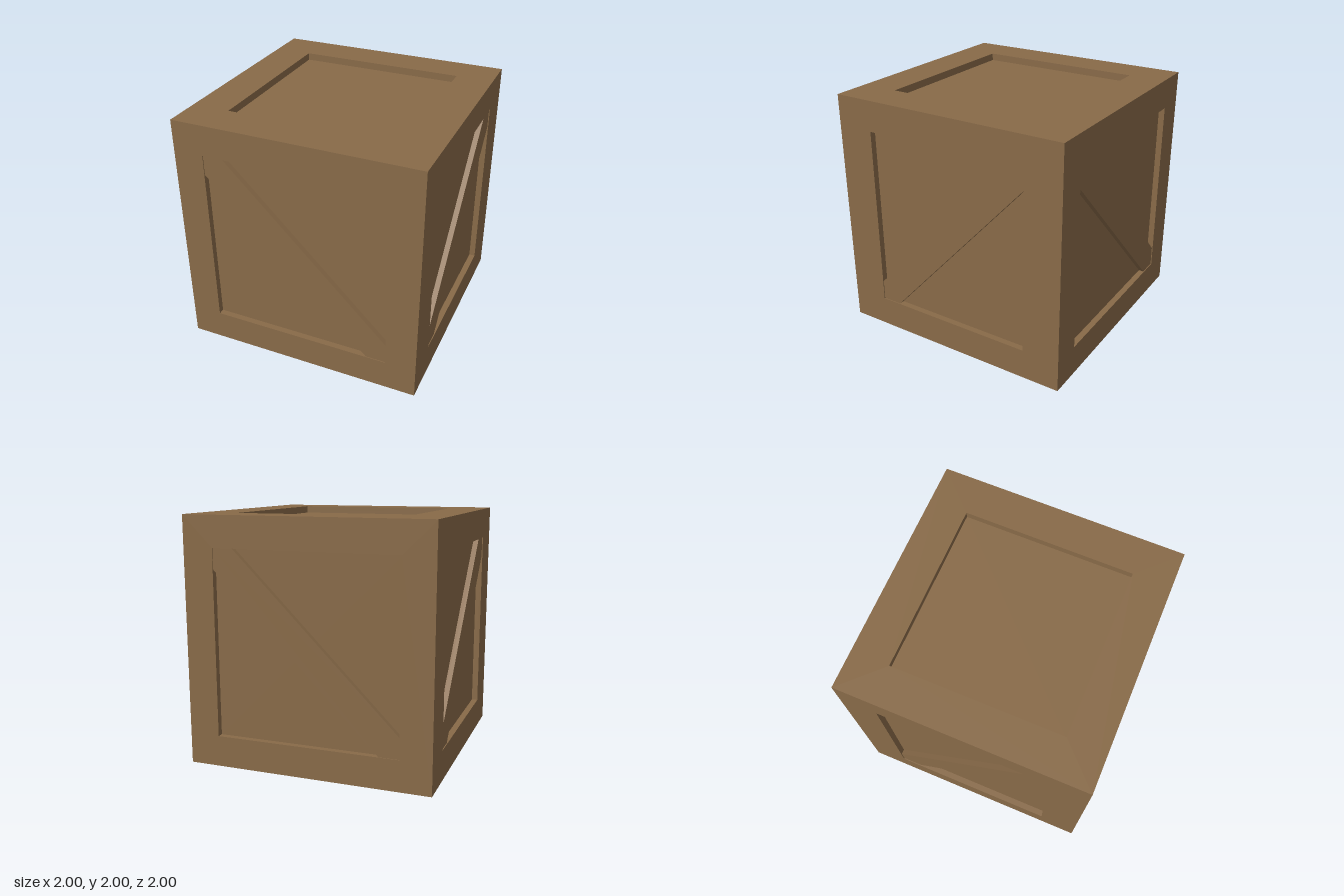
import * as THREE from 'three';

const wood = new THREE.MeshStandardMaterial({ color: 0x886a48 });
wood.name = 'wood';

function part(name, geometry, x = 0, y = 0, z = 0) {
  const mesh = new THREE.Mesh(geometry, wood);
  mesh.name = name;
  mesh.position.set(x, y, z);
  return mesh;
}

function polygon(points) {
  return new THREE.Shape(points.map(([x, y]) => new THREE.Vector2(x, y)));
}

// One side of the crate, facing +z: flat frame, recess w by h (half sizes) of depth d
function crateSide(name, w, h, d) {
  const side = new THREE.Group();
  side.name = name;
  const frame = polygon([[-1, -1], [1, -1], [1, 1], [-1, 1]]);
  frame.holes.push(polygon([[-w, -h], [-w, h], [w, h], [w, -h]]));
  side.add(part('frame', new THREE.ShapeGeometry(frame), 0, 0, 1));
  side.add(part('panel', new THREE.PlaneGeometry(2 * w, 2 * h), 0, 0, 1 - d));
  // inner edges of the frame
  for (const s of [-1, 1]) {
    const upright = new THREE.PlaneGeometry(d, 2 * h).rotateY(-s * Math.PI / 2);
    const rail = new THREE.PlaneGeometry(2 * w, d).rotateX(s * Math.PI / 2);
    side.add(part('frameEdge', upright, s * w, 0, 1 - d / 2));
    side.add(part('frameEdge', rail, 0, s * h, 1 - d / 2));
  }
  return side;
}

// Diagonal board across a recess, ends cut to fit its corners; lean 1 falls to the right
function brace(w, h, d, lean) {
  const cut = 0.165;
  const shape = polygon([
    [-w, h], [-w, h - cut], [w - cut, -h], [w, -h], [w, -h + cut], [-w + cut, h],
  ].map(([x, y]) => [x * lean, y]));
  const geometry = new THREE.ExtrudeGeometry(shape, { depth: d - 0.007, bevelEnabled: false });
  return part('brace', geometry, 0, 0, 1 - d);
}

export function createModel() {
  const crate = new THREE.Group();
  crate.name = 'crate';

  // four walls, opposite ones alike
  ['front', 'left', 'back', 'right'].forEach((name, i) => {
    const w = i % 2 ? 0.69 : 0.75;
    const wall = crateSide(name + 'Wall', w, 0.75, 0.05);
    wall.add(brace(w, 0.75, 0.05, i % 2 ? -1 : 1));
    wall.rotation.y = i * Math.PI / 2;
    wall.position.y = 1;
    crate.add(wall);
  });

  // lid with a square recess
  const lid = crateSide('lid', 0.69, 0.69, 0.06);
  lid.rotation.x = -Math.PI / 2;
  lid.position.y = 1;
  crate.add(lid);

  // plain base
  crate.add(part('base', new THREE.PlaneGeometry(2, 2).rotateX(Math.PI / 2)));
  return crate;
}
